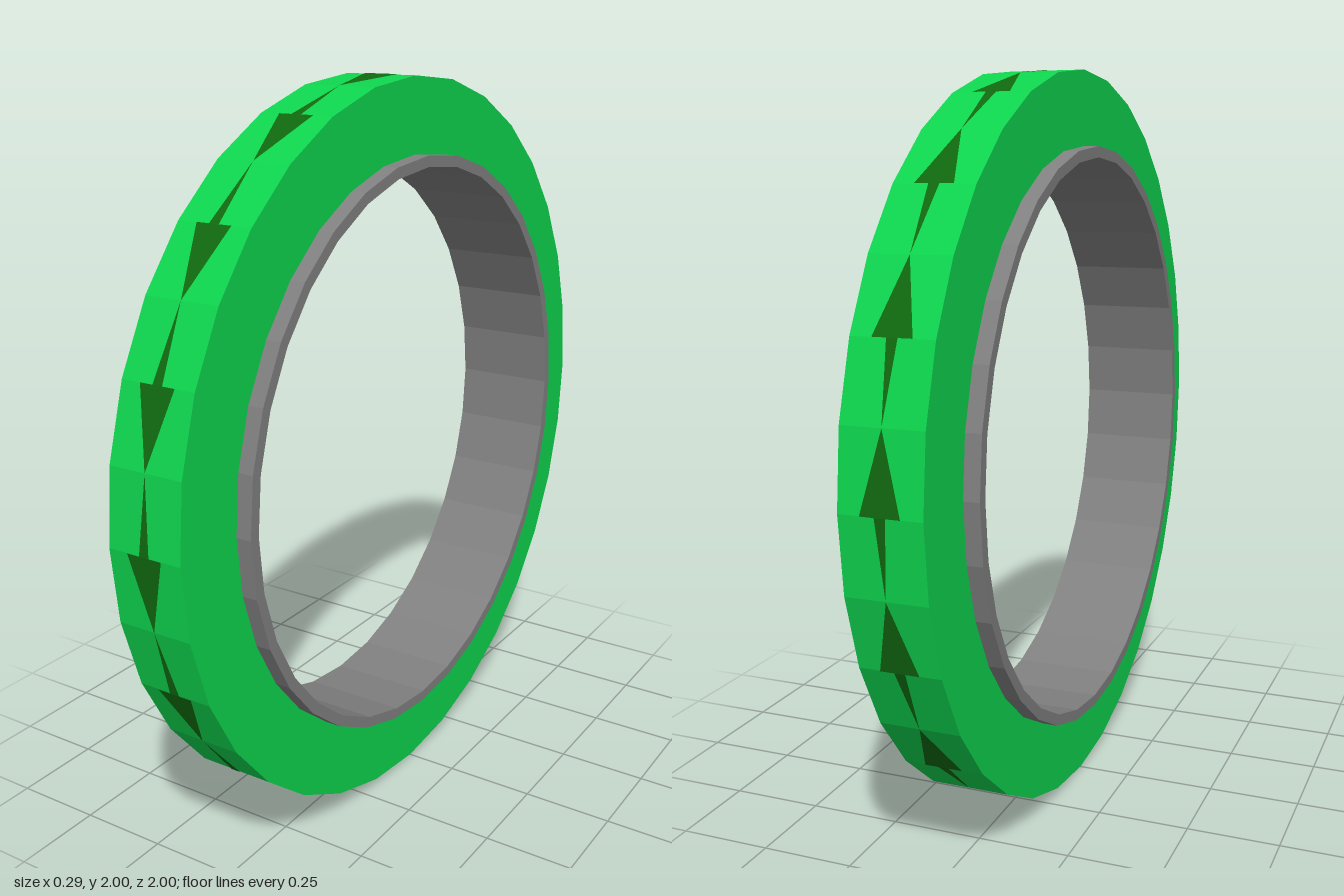
import * as THREE from 'three';

const SIDES = 32;
const STEP = (Math.PI * 2) / SIDES;

const green = new THREE.MeshStandardMaterial({ color: 0x0ed44e, flatShading: true });
green.name = 'bright green';
const grey = new THREE.MeshStandardMaterial({ color: 0x808080, flatShading: true });
grey.name = 'grey';
const darkGreen = new THREE.MeshStandardMaterial({ color: 0x10680f, flatShading: true });
darkGreen.name = 'dark green';

// Faceted ring around the x axis from a [radius, offset] profile
function ring(name, profile, material) {
  const points = profile.map(([r, w]) => new THREE.Vector2(r, w));
  const geometry = new THREE.LatheGeometry(points, SIDES).rotateZ(-Math.PI / 2);
  const mesh = new THREE.Mesh(geometry, material);
  mesh.name = name;
  return mesh;
}

// Chain of arrows lying on the tread: a head on one facet, a tapering shaft on the next
function arrows(radius, headHalf, shaftHalf) {
  const positions = [];
  const add = (x, a) => positions.push(x, radius * Math.cos(a), radius * Math.sin(a));
  for (let i = 0; i < SIDES; i += 2) {
    const base = i * STEP, tip = base + STEP, end = tip + STEP;
    add(-headHalf, base); add(0, tip); add(headHalf, base);
    add(0, tip); add(-shaftHalf, end); add(shaftHalf, end);
  }
  const geometry = new THREE.BufferGeometry();
  geometry.setAttribute('position', new THREE.Float32BufferAttribute(positions, 3));
  geometry.computeVertexNormals();
  const mesh = new THREE.Mesh(geometry, darkGreen);
  mesh.name = 'treadArrows';
  return mesh;
}

export function createModel() {
  const wheel = new THREE.Group();
  wheel.name = 'wheel';

  // Tyre, open where it sits on the rim
  const t = 0.105;
  wheel.add(ring('tyre', [[0.8, -t], [1, -t], [1, t], [0.8, t]], green));

  // Wider thin rim inside the tyre
  const w = 0.147;
  wheel.add(ring('rim', [[0.77, -w], [0.8, -w], [0.8, w], [0.77, w], [0.77, -w]], grey));

  // Arrows running round the tread
  wheel.add(arrows(1.0015, 0.05, 0.014));

  wheel.position.y = 1;
  const model = new THREE.Group();
  model.name = 'model';
  model.add(wheel);
  return model;
}
